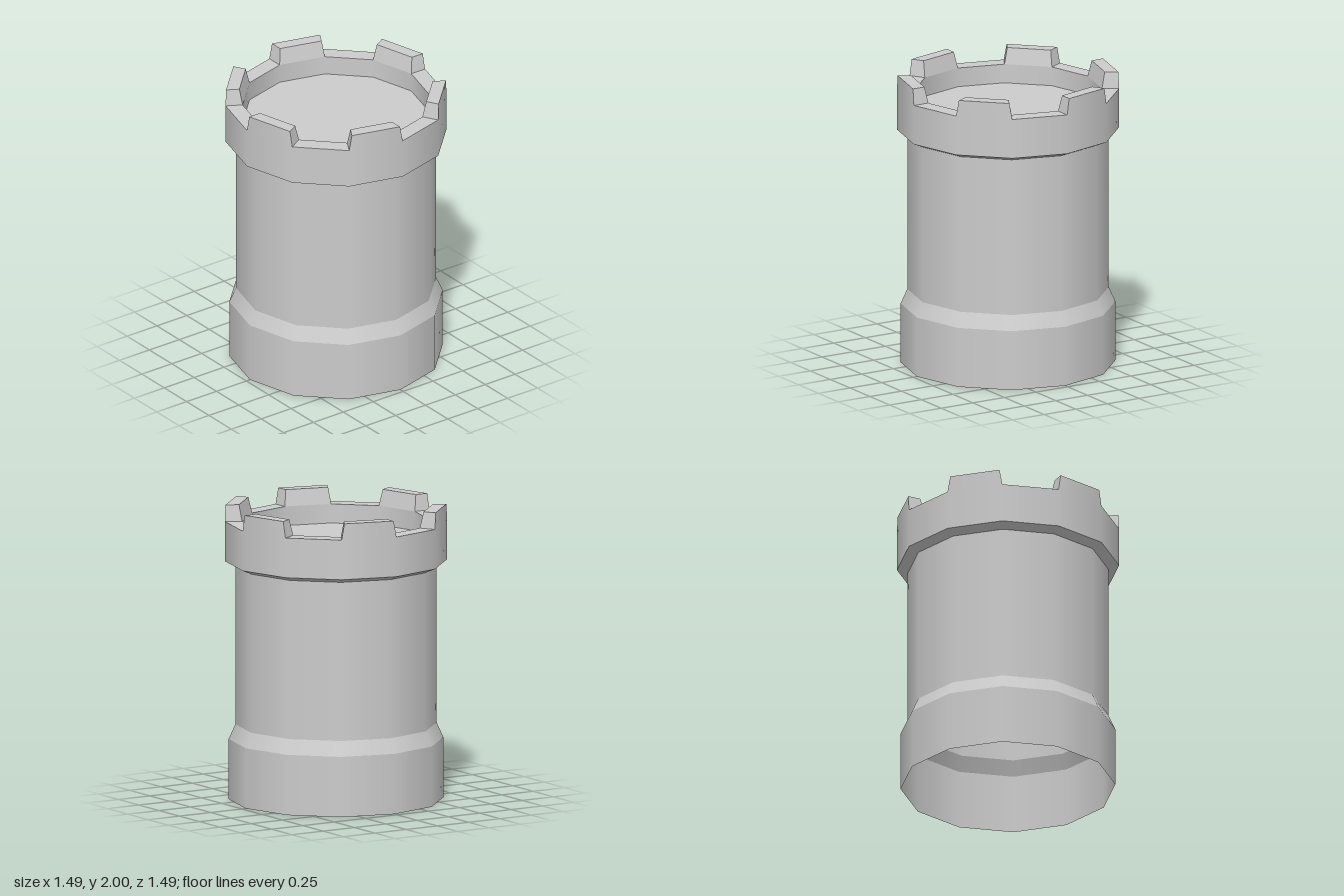
import * as THREE from 'three';

const SIDES = 12;
const STEP = (Math.PI * 2) / SIDES;
const R_OUT = 0.745, R_IN = 0.63, R_TOP = 0.655; // crown outside, inside, inside at merlon top
const Y_FLOOR = 1.76, Y_RIM = 1.89, Y_TOP = 2;

const stone = new THREE.MeshStandardMaterial({ color: 0xcccccc, side: THREE.DoubleSide });
stone.name = 'grey stone';

// One twelve-sided band between two profile points; upward profiles face outward.
function band(name, r0, y0, r1, y1) {
  const profile = [new THREE.Vector2(r0, y0), new THREE.Vector2(r1, y1)];
  const mesh = new THREE.Mesh(new THREE.LatheGeometry(profile, SIDES), stone);
  mesh.name = name;
  return mesh;
}

const corner = (r, y, a) => new THREE.Vector3(r * Math.sin(a), y, r * Math.cos(a));

// Merlon on one side of the crown: plumb outside, sloping ends and inside.
function merlonGeometry() {
  const [o0, o1] = [corner(R_OUT, Y_RIM, 0), corner(R_OUT, Y_RIM, STEP)];
  const [i0, i1] = [corner(R_IN, Y_RIM, 0), corner(R_IN, Y_RIM, STEP)];
  const topEdge = (r, inset) => {
    const a = corner(r, Y_TOP, 0), b = corner(r, Y_TOP, STEP);
    return [a.clone().lerp(b, inset), b.clone().lerp(a, inset)];
  };
  const [O0, O1] = topEdge(R_OUT, 0.05);
  const [I0, I1] = topEdge(R_TOP, 0.06);
  const quads = [
    [o0, o1, O1, O0], // outside
    [i1, i0, I0, I1], // inside
    [O0, O1, I1, I0], // top
    [i0, o0, O0, I0], // ends
    [o1, i1, I1, O1],
  ];
  const points = quads.flatMap(([a, b, c, d]) => [a, b, c, a, c, d]);
  const geometry = new THREE.BufferGeometry().setFromPoints(points);
  geometry.computeVertexNormals();
  // The outside continues the smooth shading of the crown wall.
  for (let k = 0; k < 6; k++) {
    const n = points[k].clone().setY(0).normalize();
    geometry.attributes.normal.setXYZ(k, n.x, n.y, n.z);
  }
  return geometry;
}

export function createModel() {
  const tower = new THREE.Group();
  tower.name = 'tower';

  // Hollow body, open underneath
  tower.add(
    band('base', 0.72, 0, 0.72, 0.41),
    band('baseBevel', 0.72, 0.41, 0.675, 0.51),
    band('shaft', 0.675, 0.51, 0.675, 1.59),
  );

  // Crown
  tower.add(
    band('crownUnderside', 0.675, 1.59, R_OUT, 1.62),
    band('crownWall', R_OUT, 1.62, R_OUT, Y_RIM),
    band('crownRim', R_OUT, Y_RIM, R_IN, Y_RIM),
    band('crownInside', R_IN, Y_RIM, R_IN, Y_FLOOR),
  );

  // Roof floor
  const floor = new THREE.Mesh(new THREE.CircleGeometry(R_IN, SIDES), stone);
  floor.name = 'roofFloor';
  floor.rotation.x = -Math.PI / 2;
  floor.position.y = Y_FLOOR;
  tower.add(floor);

  // Merlons on every other side
  const merlons = new THREE.Group();
  merlons.name = 'merlons';
  const geometry = merlonGeometry();
  for (let i = 1; i < SIDES; i += 2) {
    const merlon = new THREE.Mesh(geometry, stone);
    merlon.name = 'merlon';
    merlon.rotation.y = i * STEP;
    merlons.add(merlon);
  }
  tower.add(merlons);
  return tower;
}
